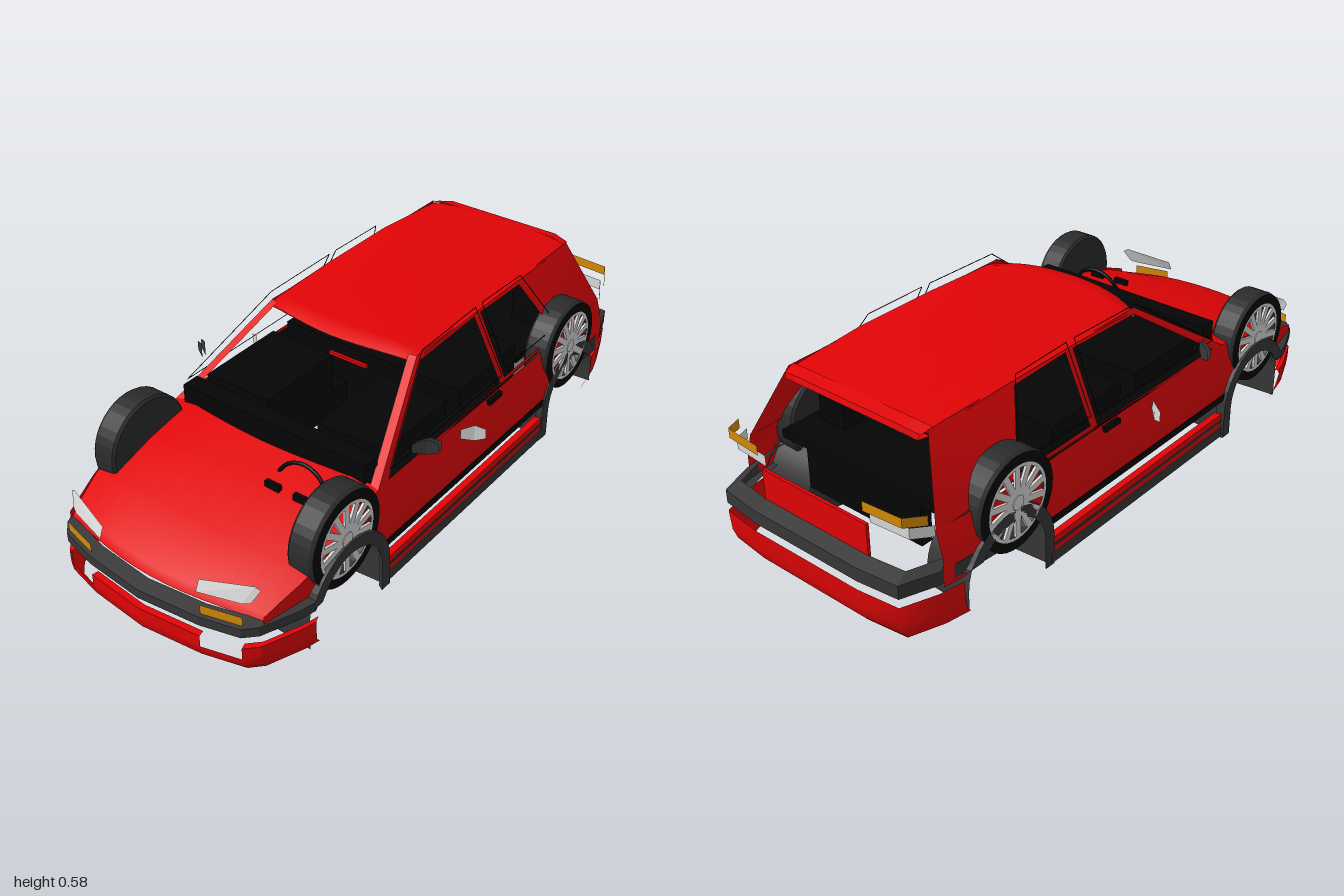
import * as THREE from 'three';

const mat = (name, color, side = THREE.DoubleSide) => {
  const m = new THREE.MeshStandardMaterial({ color, side });
  m.name = name;
  return m;
};

// Surface through rows of [x, y, z] points
function loft(rows, smooth = false) {
  const n = rows[0].length, idx = [];
  for (let i = 0; i < rows.length - 1; i++)
    for (let j = 0; j < n - 1; j++) {
      const a = i * n + j, b = a + n;
      idx.push(a, b, a + 1, b, b + 1, a + 1);
    }
  let g = new THREE.BufferGeometry();
  g.setAttribute('position', new THREE.Float32BufferAttribute(rows.flat(2), 3));
  g.setIndex(idx);
  if (!smooth) g = g.toNonIndexed();
  g.computeVertexNormals();
  return g;
}

// Piecewise linear curve through [t, value] pairs, t falling
function curve(pairs, t) {
  if (t >= pairs[0][0]) return pairs[0][1];
  for (let i = 1; i < pairs.length; i++) {
    const [a, va] = pairs[i - 1], [b, vb] = pairs[i];
    if (t >= b) return va + (vb - va) * (a - t) / (a - b);
  }
  return pairs[pairs.length - 1][1];
}
const steps = (n, a, b) => Array.from({ length: n + 1 }, (_, i) => a + (b - a) * i / n);

// Half width of the body at a given height and length
const taper = z => Math.max(0, z - 0.7) * 0.22 + Math.max(0, -z - 0.7) * 0.12;
const bodyX = (z, y) => 0.4 - taper(z) - Math.max(0, y - 0.25) * 0.3;
const glassX = (z, y) => 0.376 - taper(z) - (y - 0.33) * 0.477;
const beltY = z => curve([[0.9, 0.205], [0.75, 0.257], [0.6, 0.3], [0.42, 0.33], [-0.9, 0.33]], z);
// Wheel arches: centre z, outer x, flare leg ends front and rear, rear foot height of the well
const ARCHES = [
  { c: 0.59, x: 0.412, front: 0.16, rear: 0.003, foot: 0.003 },
  { c: -0.625, x: 0.405, front: 0.003, rear: 0.18, foot: 0.05 },
];

export function createModel() {
  const car = new THREE.Group();
  car.name = 'car';
  const red = mat('body red', 0xe20406), grey = mat('trim grey', 0x373737);
  const rubber = mat('tyre rubber', 0x2b2b2b, THREE.FrontSide);
  const black = mat('interior black', 0x050505, THREE.FrontSide);
  const amber = mat('amber lamp', 0xd48a08), silver = mat('silver', 0xdadada);

  const add = (name, geo, m, parent = car) => {
    const mesh = new THREE.Mesh(geo, m);
    mesh.name = name;
    parent.add(mesh);
    return mesh;
  };
  const box = (name, m, x0, x1, y0, y1, z0, z1) =>
    add(name, new THREE.BoxGeometry(Math.abs(x1 - x0), y1 - y0, Math.abs(z1 - z0)), m)
      .position.set((x0 + x1) / 2, (y0 + y1) / 2, (z0 + z1) / 2);

  // Hood: [z, centre y, edge y, backward sweep of the edge]
  const hood = [[0.945, 0.195, 0.185, 0.06], [0.93, 0.222, 0.2, 0.06], [0.78, 0.28, 0.25, 0.03],
    [0.6, 0.325, 0.3, 0.01], [0.46, 0.354, 0.332, 0.05]];
  add('hood', loft(hood.map(([z, yc, ye, sweep]) => steps(12, -1, 1).map(u => {
    const zz = z - sweep * u * u;
    return [u * bodyX(zz, ye), yc + (ye - yc) * Math.abs(u) ** 3, zz];
  })), true), red);

  // Roof, beginning with the windscreen header
  const roof = [[0.135, 0.543, 0.05], [0.15, 0.556, 0.06], [0.08, 0.567, 0.03], [-0.2, 0.573, 0],
    [-0.5, 0.571, 0], [-0.78, 0.555, 0]];
  add('roof', loft(roof.map(([z, y, sweep]) => steps(12, -1, 1).map(u => {
    const zz = z - sweep * u * u;
    return [u * (glassX(zz, 0.55) + 0.002), y - 0.018 * u ** 4, zz];
  })), true), red);
  add('roofSpoiler', loft([[-0.77, 0.557, 0.265], [-0.81, 0.55, 0.255], [-0.815, 0.533, 0.25], [-0.775, 0.53, 0.255]]
    .map(([z, y, w]) => [[-w, y - 0.01, z + 0.01], [-w * 0.8, y, z], [w * 0.8, y, z], [w, y - 0.01, z + 0.01]])), red);
  box('rearPanel', red, -0.2, 0.2, 0.2, 0.325, -0.955, -0.945);
  box('rearViewMirror', red, -0.07, 0.07, 0.42, 0.43, 0.055, 0.065);

  // Window openings as [z, y]
  const windows = [
    [[0.37, 0.335], [0.08, 0.54], [-0.205, 0.545], [-0.215, 0.335]],
    [[-0.245, 0.345], [-0.24, 0.545], [-0.46, 0.54], [-0.56, 0.345]],
  ];
  const toV2 = p => new THREE.Vector2(...p);

  // Bumper plan paths as [x, z] for the +x half
  const frontPath = [[0, 0.995], [0.2, 0.975], [0.32, 0.945], [0.355, 0.91], [0.4, 0.8], [0.413, 0.75]];
  const rearPath = [[0, -1], [0.2, -1], [0.335, -0.985], [0.375, -0.88], [0.39, -0.8], [0.4, -0.68]];
  const row = (path, y, inset, s) => path.map(([x, z]) =>
    [s * x * (1 - inset), y, z - Math.sign(z) * inset]);
  const band = (name, m, path, profile, s, smooth) =>
    add(name, loft(profile.map(([y, inset]) => row(path, y, inset, s)), smooth), m);

  for (const s of [1, -1]) {
    // Lower body side, cut away around the wheel arches
    const cols = steps(72, 0.895, -0.865).map(z => {
      let yb = 0.16;
      for (const { c } of ARCHES) {
        const d = 0.165 ** 2 - (z - c) ** 2;
        if (d > 0) yb = Math.max(yb, 0.1 + Math.sqrt(d));
      }
      const yt = beltY(z);
      return steps(4, Math.min(yb, yt), yt).map(y => [s * bodyX(z, y), y, z]);
    });
    add('bodySide', loft(cols, true), red);

    // Pillars and window frames
    const shape = new THREE.Shape([[0.43, 0.325], [0.09, 0.556], [-0.78, 0.548], [-0.865, 0.325]].map(toV2));
    shape.holes = windows.map(w => new THREE.Path(w.map(toV2)));
    const side = new THREE.ShapeGeometry(shape), p = side.attributes.position;
    for (let i = 0; i < p.count; i++) {
      const z = p.getX(i), y = p.getY(i);
      p.setXYZ(i, s * glassX(z, y), y, z);
    }
    side.computeVertexNormals();
    add('pillars', side, red);
    add('windscreenPillar', loft([0, 0.026].map(d =>
      [[0.43, 0.325], [0.09, 0.556]].map(([z, y]) => [s * (glassX(z, y) - d), y, z + d * 0.2]))), red);

    // Thin window seals standing above the frames
    for (const w of windows) {
      const pts = w.map(([z, y]) => new THREE.Vector3(s * (glassX(z, y) + 0.003), y + 0.034, z));
      pts.forEach((a, i) => add('windowSeal',
        new THREE.TubeGeometry(new THREE.LineCurve3(a, pts[(i + 1) % 4]), 1, 0.0015, 4), black));
    }

    // Sill, door strip, handle
    box('doorStrip', black, s * 0.385, s * 0.403, 0.138, 0.16, 0.42, -0.45);
    box('sill', red, s * 0.38, s * 0.402, 0.04, 0.09, 0.42, -0.46);
    box('sillLine', grey, s * 0.4, s * 0.404, 0.06, 0.068, 0.42, -0.46);
    box('sillSkirt', grey, s * 0.375, s * 0.406, 0.008, 0.04, 0.42, -0.46);
    box('doorHandle', black, s * 0.375, s * 0.392, 0.31, 0.325, -0.13, -0.2);

    // Wheel arch flares and inner wells
    for (const { c, x: outer, front, rear, foot } of ARCHES) {
      const arc = (r, x, yf, yr) => {
        const a = steps(16, 0, Math.PI).map(t => {
          const y = 0.1 + r * Math.sin(t), dz = r * Math.cos(t);
          return [s * x, Math.max(y, dz > 0 ? yf : yr), c + dz];
        });
        return [[s * x, yf < 0.1 ? yf : a[0][1], c + r], ...a, [s * x, yr < 0.1 ? yr : a[16][1], c - r]];
      };
      add('archFlare', loft([[0.185, 0.385], [0.178, outer], [0.14, outer], [0.15, 0.395]]
        .map(([r, x]) => arc(r, x, front, rear))), grey);
      add('archWell', loft([arc(0.165, 0.395, 0.003, foot), arc(0.155, 0.235, 0.003, foot)], true), grey);
      const wall = new THREE.Shape([[-0.155, 0.003], [-0.155, 0.1]].map(toV2));
      wall.absarc(0, 0.1, 0.155, Math.PI, 0, true);
      wall.lineTo(0.155, foot);
      const m = add('archWall', new THREE.ShapeGeometry(wall), grey);
      m.rotation.y = Math.PI / 2;
      m.position.set(s * 0.235, 0, c);
    }

    // Front bumper with a lamp opening on each side
    band('frontBumperStrip', grey, frontPath, [[0.152, 0.04], [0.152, 0], [0.182, 0], [0.19, 0.045]], s);
    band('frontBumper', red, frontPath, [[0.075, 0], [0.045, 0.004], [0.014, 0.03]], s, true);
    band('frontBumperCentre', red, frontPath.slice(0, 2), [[0.113, 0.02], [0.113, 0], [0.075, 0]], s);
    band('frontBumperEnd', red, frontPath.slice(2), [[0.113, 0.02], [0.113, 0], [0.075, 0]], s);

    // Rear bumper
    band('rearBumperStrip', grey, rearPath, [[0.172, 0.04], [0.172, 0], [0.215, 0], [0.228, 0.045]], s);
    band('rearBumper', red, rearPath.slice(0, 5), [[0.145, 0], [0.08, 0.004], [0.045, 0.015], [0.02, 0.035]], s, true);

    // Lamps
    add('headlight', loft([
      [[s * 0.175, 0.27, 0.935], [s * 0.33, 0.295, 0.89], [s * 0.345, 0.285, 0.885]],
      [[s * 0.175, 0.237, 0.95], [s * 0.305, 0.24, 0.915], [s * 0.325, 0.245, 0.905]]]), silver);
    add('frontIndicator', loft([0.216, 0.186].map(y =>
      [[s * 0.2, y, 0.965], [s * 0.32, y, 0.935]])), amber);
    const tail = (name, m, y0, y1, dz) => add(name, loft([y1, y0].map(y =>
      [[s * 0.2, y, -0.955 + dz], [s * 0.33, y, -0.945 + dz], [s * 0.362, y - 0.01, -0.885 + dz]])), m);
    tail('rearIndicator', amber, 0.372, 0.403, -0.008);
    tail('reverseLamp', silver, 0.325, 0.36, 0.015);

    // Door mirror with its separate glass
    const mirror = (name, m, y, z, h) => add(name, loft([
      [[s * 0.39, y - h * 0.6, z + 0.03], [s * 0.42, y - h, z], [s * 0.45, y - h * 0.6, z - 0.015]],
      [[s * 0.39, y + h * 0.6, z + 0.03], [s * 0.42, y + h, z], [s * 0.45, y + h * 0.6, z - 0.015]]]), m);
    mirror('mirrorHousing', grey, 0.397, 0.255, 0.026);
    mirror('mirrorBack', grey, 0.397, 0.24, 0.026);
    mirror('mirrorGlass', silver, 0.297, 0, 0.028);

    // Seats and door cards
    box('frontSeat', black, s * 0.092, s * 0.33, 0.165, 0.385, 0.02, 0.33);
    box('footwell', black, s * 0.092, s * 0.33, 0.165, 0.3, 0.33, 0.37);
    box('rearFootwell', black, s * 0.092, s * 0.33, 0.165, 0.25, -0.05, 0.02);
    box('seatRail', black, s * 0.12, s * 0.3, 0.13, 0.165, 0.2, 0.25);
    box('seatRail', black, s * 0.12, s * 0.3, 0.13, 0.165, -0.14, -0.19);
    box('doorCard', black, s * 0.33, s * 0.372, 0.2, 0.328, -0.22, 0.41);
    box('rearHeadrest', black, s * 0.18, s * 0.28, 0.3, 0.475, -0.6, -0.67);

    // Wheels, closed on the inner side
    for (const z of [0.6, -0.6]) {
      const wheel = new THREE.Group();
      wheel.name = 'wheel';
      wheel.position.set(s * 0.357, 0.292, z);
      wheel.rotation.z = -s * Math.PI / 2;
      const profile = [[0.113, -0.04], [0.143, -0.041], [0.15, -0.033], [0.15, 0.033],
        [0.143, 0.043], [0.115, 0.046], [0.113, -0.04]].map(toV2);
      add('tyre', new THREE.LatheGeometry(profile, 36).toNonIndexed(), rubber, wheel)
        .geometry.computeVertexNormals();
      const disc = (name, geo, m, y, turn) => {
        const d = add(name, geo, m, wheel);
        d.rotation.x = turn * Math.PI / 2;
        d.position.y = y;
      };
      disc('wheelBack', new THREE.CircleGeometry(0.114, 36), rubber, -0.04, 1);
      disc('tyreWall', new THREE.RingGeometry(0.112, 0.146, 36), black, 0.047, -1);
      disc('rim', new THREE.RingGeometry(0.106, 0.116, 36), silver, 0.048, -1);
      add('hub', new THREE.CylinderGeometry(0.022, 0.024, 0.012, 16), silver, wheel).position.y = 0.044;
      for (let i = 0; i < 14; i++) {
        const a = i * Math.PI / 7;
        const spoke = add('spoke', new THREE.BoxGeometry(0.09, 0.008, 0.02), silver, wheel);
        spoke.position.set(0.063 * Math.cos(a), 0.044, -0.063 * Math.sin(a));
        spoke.rotation.y = a;
      }
      car.add(wheel);
    }
  }

  // Cabin: floor faces down only
  const floor = add('floor', new THREE.PlaneGeometry(0.72, 1.1), black);
  floor.rotation.x = Math.PI / 2;
  floor.position.set(0, 0.163, -0.13);
  box('dashboard', black, -0.335, 0.335, 0.2, 0.398, 0.37, 0.43);
  box('firewall', black, -0.3, 0.3, 0.08, 0.32, 0.42, 0.46);
  box('rearBench', black, -0.33, 0.33, 0.165, 0.385, -0.05, -0.37);
  box('rearShelf', black, -0.32, 0.32, 0.295, 0.32, -0.4, -0.78);
  box('trunkPanel', black, -0.22, 0.22, 0.165, 0.295, -0.74, -0.78);

  // Steering wheel and gauges
  const steering = add('steeringWheel', new THREE.TorusGeometry(0.09, 0.006, 8, 28), black);
  steering.position.set(0.19, 0.3, 0.53);
  steering.rotation.x = -0.2;
  for (const x of [0.135, 0.235]) box('gauge', black, x - 0.025, x + 0.025, 0.325, 0.345, 0.575, 0.59);
  return car;
}
